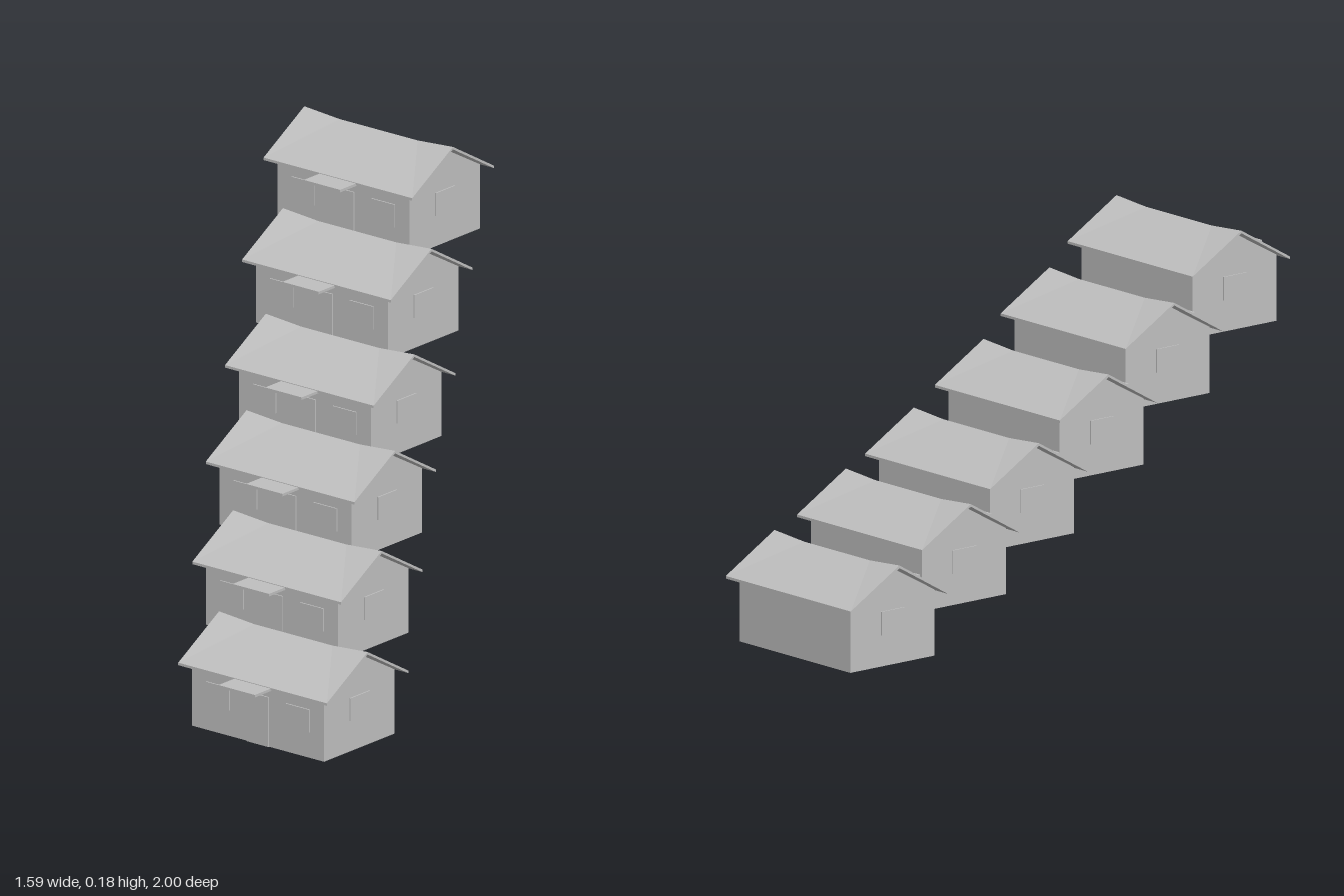
import * as THREE from 'three';

const W = 0.254, D = 0.164, WALL = 0.101, PEAK = 0.147; // house shell

// Gabled slab roof whose ridge lifts slightly at both ends
function roofGeometry() {
  const stations = [[-0.143, 0.154], [-0.075, 0.149], [0.075, 0.149], [0.143, 0.154]];
  const t = 0.004, eave = 0.099, half = 0.095;
  const rings = stations.map(([x, ridge]) => [
    [half, eave], [0, ridge], [-half, eave],
    [-half, eave - t], [0, ridge - t], [half, eave - t],
  ].map(([z, y]) => [x, y, z]));
  const pos = [];
  const tri = (...p) => p.forEach(v => pos.push(...v));
  for (let s = 0; s < 3; s++) {
    for (let i = 0; i < 6; i++) {
      const j = (i + 1) % 6;
      const a = rings[s][i], b = rings[s + 1][i], c = rings[s + 1][j], d = rings[s][j];
      // The fold always runs from the eave corner to the inner ridge point
      if ((i === 1 || i === 4) !== (s === 2)) { tri(a, b, d); tri(b, c, d); }
      else { tri(a, b, c); tri(a, c, d); }
    }
  }
  // End caps
  for (const q of [[0, 1, 4, 5], [1, 2, 3, 4]]) {
    const l = q.map(k => rings[0][k]), r = q.map(k => rings[3][k]);
    tri(l[0], l[1], l[2]); tri(l[0], l[2], l[3]);
    tri(r[0], r[2], r[1]); tri(r[0], r[3], r[2]);
  }
  const g = new THREE.BufferGeometry();
  g.setAttribute('position', new THREE.Float32BufferAttribute(pos, 3));
  g.computeVertexNormals();
  return g;
}

export function createModel() {
  const model = new THREE.Group();
  model.name = 'houseRow';
  const grey = new THREE.MeshStandardMaterial({ color: 0xbfbfbf, side: THREE.DoubleSide });
  grey.name = 'plain grey';

  const longWall = new THREE.PlaneGeometry(W, WALL);
  const gable = new THREE.ShapeGeometry(new THREE.Shape([
    [-D / 2, 0], [D / 2, 0], [D / 2, WALL], [0, PEAK], [-D / 2, WALL],
  ].map(([x, y]) => new THREE.Vector2(x, y))));
  const roof = roofGeometry();
  const canopy = new THREE.BoxGeometry(0.07, 0.004, 0.05);
  const door = new THREE.BoxGeometry(0.042, 0.078, 0.004);
  const pane = new THREE.BoxGeometry(0.045, 0.036, 0.004);

  function house() {
    const g = new THREE.Group();
    const add = (name, geo, x, y, z, ry = 0) => {
      const m = new THREE.Mesh(geo, grey);
      m.name = name;
      m.position.set(x, y, z);
      m.rotation.y = ry;
      g.add(m);
    };
    // Hollow shell, open underneath
    add('frontWall', longWall, 0, WALL / 2, D / 2);
    add('backWall', longWall, 0, WALL / 2, -D / 2, Math.PI);
    add('roof', roof, 0, 0, 0);
    add('porchCanopy', canopy, 0, 0.096, 0.107);
    add('door', door, 0, 0.039, D / 2);
    for (const s of [-1, 1]) {
      add('gableWall', gable, s * W / 2, 0, 0, s * Math.PI / 2);
      add('gableWindow', pane, s * W / 2, 0.066, 0, s * Math.PI / 2);
      add('frontWindow', pane, s * 0.077, 0.058, D / 2);
    }
    return g;
  }

  // Diagonal row, the two rearmost houses on slightly higher ground
  [
    [-0.653, 0.023, -0.905], [-0.405, 0.013, -0.555], [-0.147, 0, -0.203],
    [0.106, 0, 0.148], [0.376, 0, 0.506], [0.648, 0, 0.868],
  ].forEach(([x, y, z], i) => {
    const h = house();
    h.name = 'house' + (i + 1);
    h.position.set(x, y, z);
    model.add(h);
  });
  return model;
}
